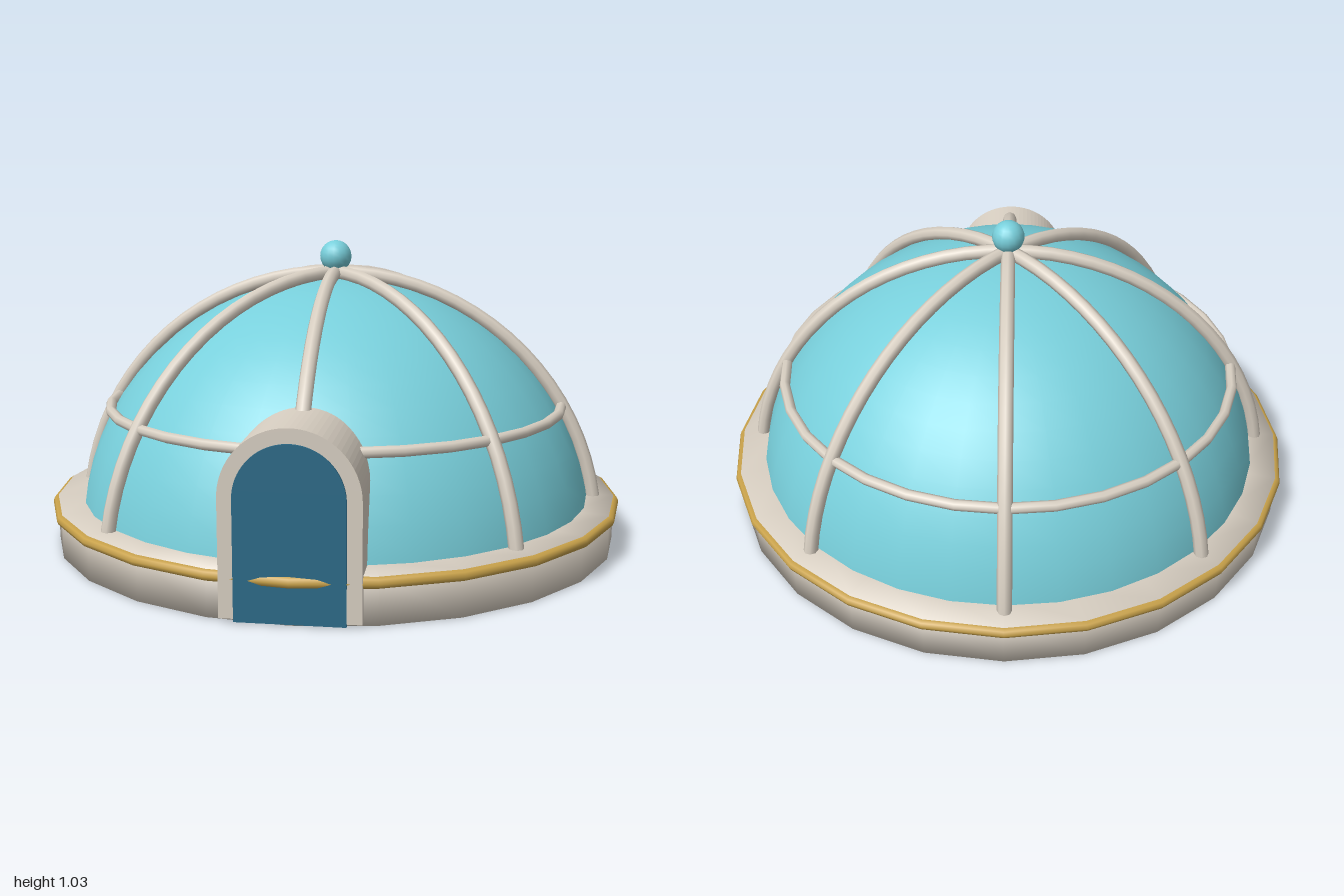
import * as THREE from 'three';

const mat = (name, color, side = THREE.FrontSide) => {
  const m = new THREE.MeshStandardMaterial({ color, side });
  m.name = name;
  return m;
};

// Upright arch outline: straight jambs topped by a half circle
function archShape(halfWidth, bottom, spring) {
  const s = new THREE.Shape();
  s.moveTo(-halfWidth, bottom);
  s.lineTo(halfWidth, bottom);
  s.lineTo(halfWidth, spring);
  s.absarc(0, spring, halfWidth, 0, Math.PI, false);
  s.closePath();
  return s;
}

export function createModel() {
  const model = new THREE.Group();
  model.name = 'domeHouse';

  const glass = mat('glassBlue', 0x78cfdb, THREE.DoubleSide);
  const stone = mat('warmStone', 0xd8cfc2, THREE.DoubleSide);
  const gold = mat('goldTrim', 0xc9a24a);
  const doorBlue = mat('deepBlue', 0x2c6a88);

  const add = (name, geometry, material, parent = model) => {
    const mesh = new THREE.Mesh(geometry, material);
    mesh.name = name;
    parent.add(mesh);
    return mesh;
  };

  // Glass hemisphere, open underneath
  add('dome', new THREE.SphereGeometry(0.9, 32, 16, 0, Math.PI * 2, 0, Math.PI / 2), glass);

  // Footing: a channel-shaped ring, open towards the inside
  const footing = [[0.86, 0], [0.98, 0], [0.98, 0.15], [0.86, 0.15]]
    .map(([r, y]) => new THREE.Vector2(r, y));
  add('baseRing', new THREE.LatheGeometry(footing, 24), stone);

  // Gold band round the footing
  const trim = add('goldBand', new THREE.TorusGeometry(0.98, 0.018, 8, 24), gold);
  trim.rotation.x = Math.PI / 2;
  trim.position.y = 0.13;

  // Eight ribs meeting at the crown
  const ribs = new THREE.Group();
  ribs.name = 'ribs';
  model.add(ribs);
  const arc = Array.from({ length: 13 }, (_, i) => {
    const a = (i / 12) * Math.PI / 2;
    return new THREE.Vector3(Math.cos(a) * 0.92, Math.sin(a) * 0.92, 0);
  });
  const ribGeometry = new THREE.TubeGeometry(new THREE.CatmullRomCurve3(arc), 20, 0.024, 8);
  for (let i = 0; i < 8; i++) {
    add('rib', ribGeometry, stone, ribs).rotation.y = i * Math.PI / 4;
  }

  // Horizontal hoop
  const hoop = add('hoop', new THREE.TorusGeometry(0.79, 0.018, 8, 32), stone);
  hoop.rotation.x = Math.PI / 2;
  hoop.position.y = 0.465;

  // Crown knob
  add('crownKnob', new THREE.SphereGeometry(0.055, 16, 12), glass).position.y = 0.975;

  // Arched porch running into the dome
  const porch = add('porch', new THREE.ExtrudeGeometry(archShape(0.21, 0.01, 0.37),
    { depth: 0.325, bevelEnabled: false, curveSegments: 20 }), stone);
  porch.position.z = 0.65;

  // Door panel
  const door = add('door', new THREE.ExtrudeGeometry(archShape(0.165, 0.003, 0.37),
    { depth: 0.009, bevelEnabled: false, curveSegments: 20 }), doorBlue);
  door.position.z = 0.973;

  return model;
}
